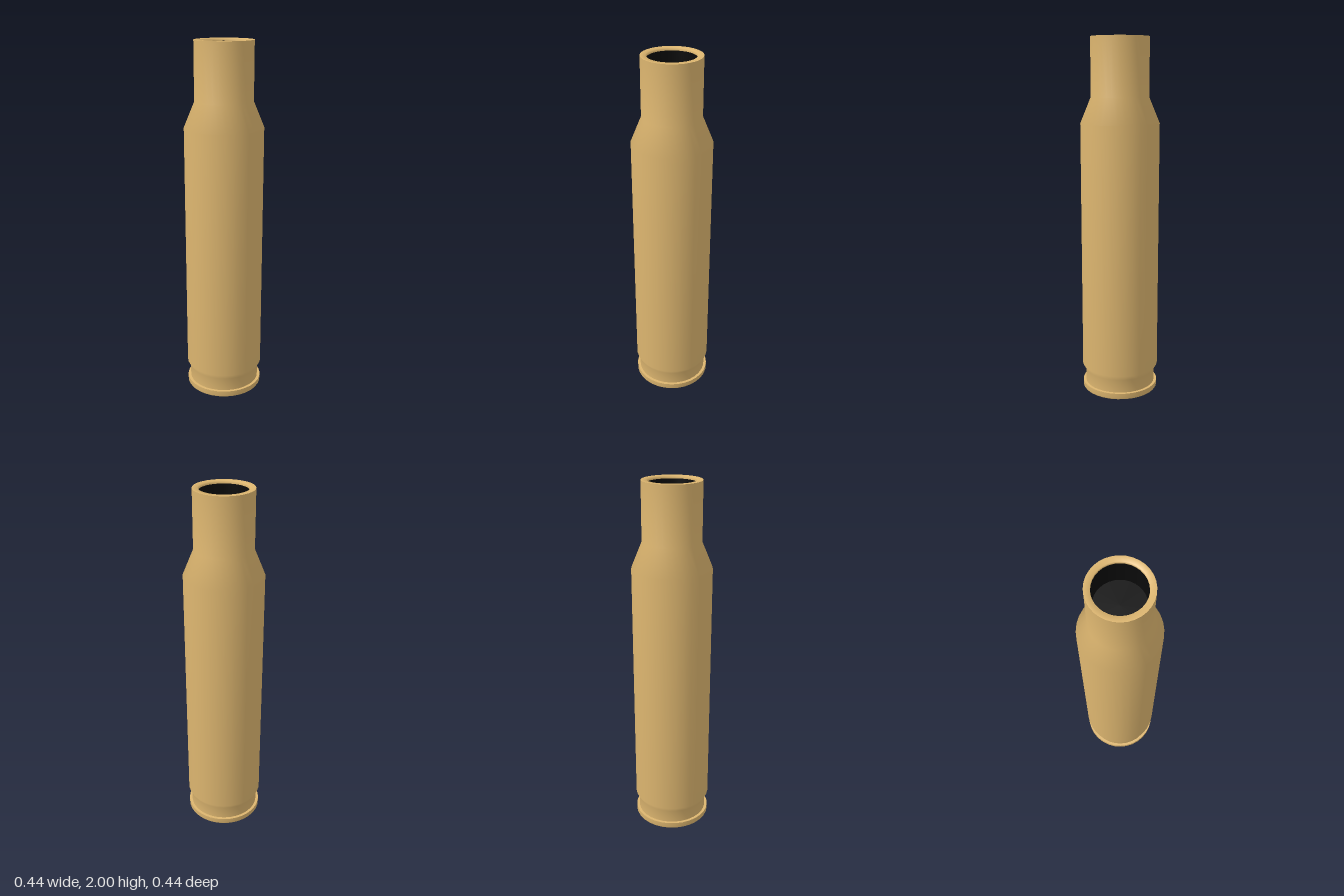
import * as THREE from 'three';

const SIDES = 32;
const brass = new THREE.MeshStandardMaterial({ color: 0xdcb56f });
const copper = new THREE.MeshStandardMaterial({ color: 0xb87a5c });
const black = new THREE.MeshStandardMaterial({ color: 0x0a0a0a });

// Turned part: profile of [radius, height] pairs, running so the outside is on its right
function turned(name, profile, material) {
  const points = profile.map(([r, y]) => new THREE.Vector2(r, y));
  const mesh = new THREE.Mesh(new THREE.LatheGeometry(points, SIDES), material);
  mesh.name = name;
  return mesh;
}

export function createModel() {
  const group = new THREE.Group();
  group.name = 'cartridgeCase';

  group.add(
    // Extractor groove, body, shoulder and neck in one smooth sweep
    turned('caseBody', [
      [0.2, 0.035], [0.2, 0.11], [0.218, 0.14], [0.218, 1.54], [0.16, 1.68], [0.16, 2],
    ], brass),
    // Rolled mouth edge
    turned('mouthLip', [[0.16, 2], [0.13, 2], [0.129, 1.985]], brass),
    // Dark bore inside the neck
    turned('bore', [[0.129, 1.985], [0.129, 1.83]], black),
    turned('boreFloor', [[0.129, 1.83], [0, 1.83]], black),
    // Base rim with the primer pocket
    turned('rimEdge', [[0.212, 0], [0.216, 0.006], [0.216, 0.035]], brass),
    turned('rimTop', [[0.216, 0.035], [0.2, 0.035]], brass),
    turned('baseFace', [[0.13, 0.015], [0.135, 0], [0.212, 0]], brass),
    // Primer, slightly sunk into the base
    turned('primer', [[0, 0.01], [0.12, 0.01], [0.13, 0.015]], copper),
  );
  return group;
}
